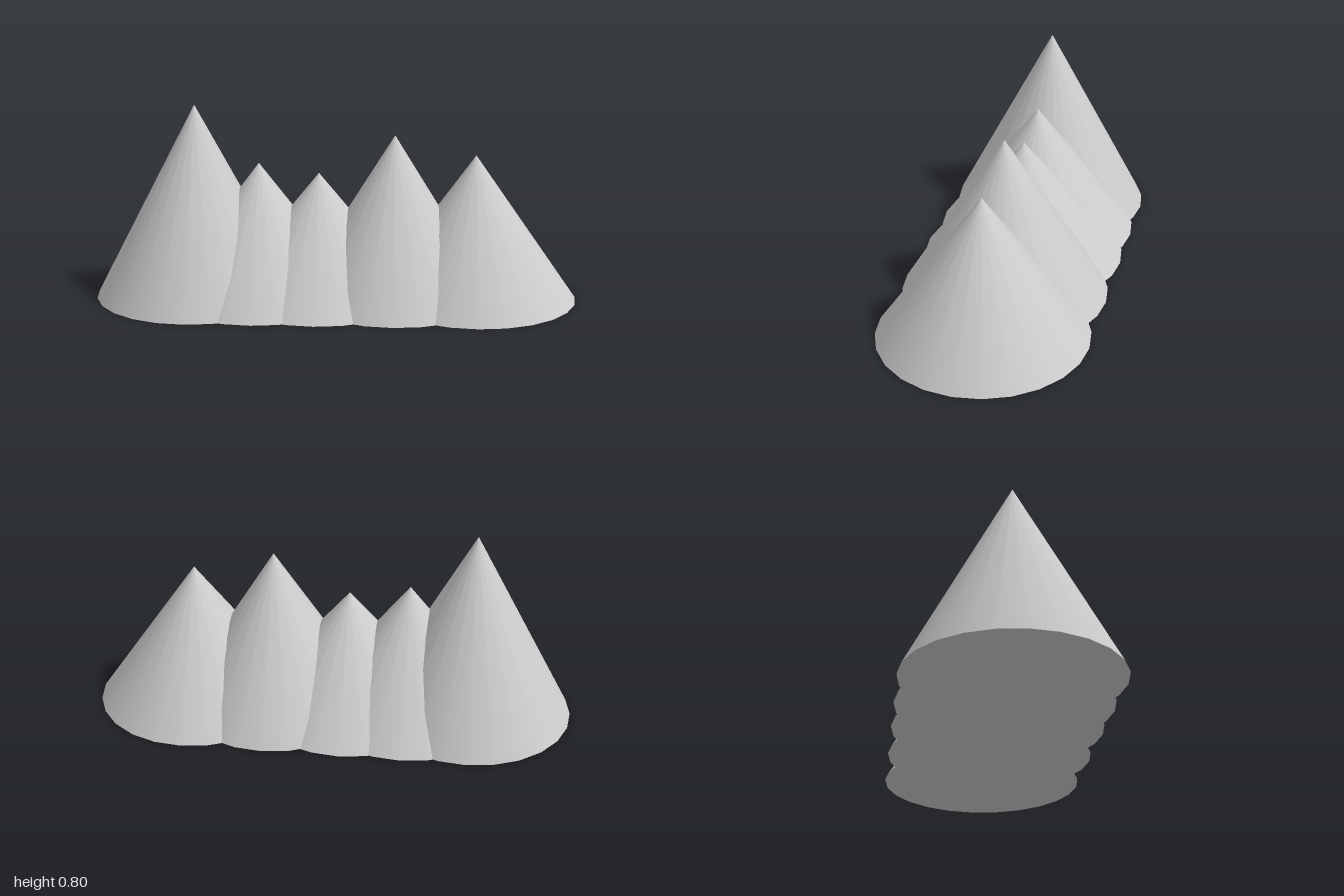
import * as THREE from 'three';

export function createModel() {
  const group = new THREE.Group();
  group.name = 'mountainRange';
  const material = new THREE.MeshStandardMaterial({ color: 0xcccccc });
  const radius = 0.423;

  // Overlapping peaks in a row: [name, x, height]
  const peaks = [
    ['tallestPeak', -0.577, 0.8],
    ['lowPeak', -0.315, 0.56],
    ['lowestPeak', -0.067, 0.52],
    ['highPeak', 0.245, 0.68],
    ['endPeak', 0.577, 0.6],
  ];
  for (const [name, x, height] of peaks) {
    const peak = new THREE.Mesh(new THREE.ConeGeometry(radius, height, 24), material);
    peak.name = name;
    peak.position.set(x, height / 2, 0);
    group.add(peak);
  }
  return group;
}
